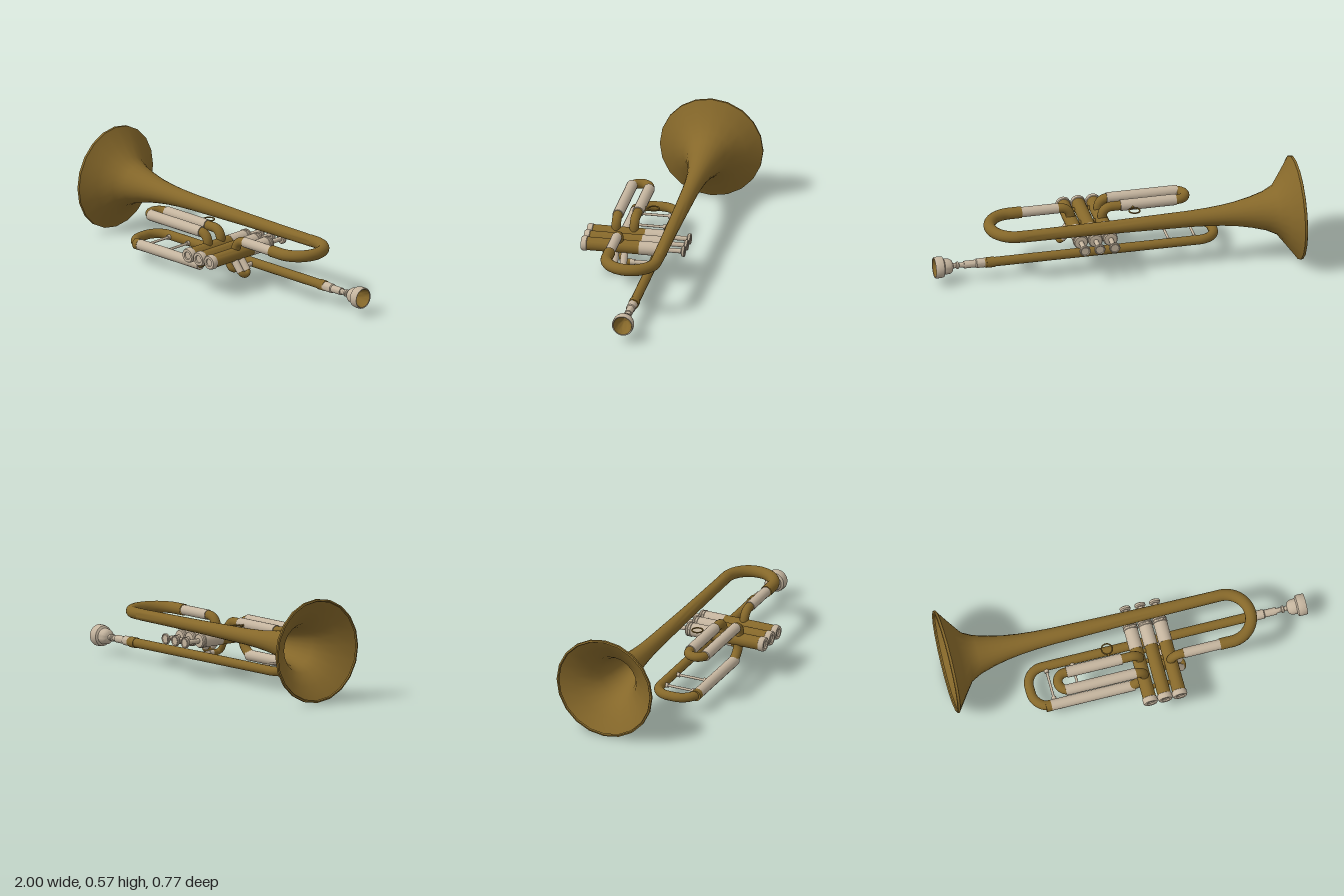
import * as THREE from 'three';
import { toCreasedNormals } from 'three/addons/utils/BufferGeometryUtils.js';

const brass = new THREE.MeshStandardMaterial({ color: 0x86682a, side: THREE.DoubleSide });
brass.name = 'brass';
const silver = new THREE.MeshStandardMaterial({ color: 0xc4b49e, side: THREE.DoubleSide });
silver.name = 'silver';

const V = (p) => new THREE.Vector3(...p);

export function createModel() {
  const root = new THREE.Group();
  root.name = 'trumpet';

  const add = (name, geo, mat, parent = root) => {
    const m = new THREE.Mesh(geo, mat);
    m.name = name;
    parent.add(m);
    return m;
  };

  // Pipe along a polyline whose corners are rounded by radius c
  const pipe = (name, pts, r, c, mat, segs = 120) => {
    const path = new THREE.CurvePath();
    const p = pts.map(V);
    let from = p[0];
    for (let i = 1; i < p.length - 1; i++) {
      const inDir = p[i].clone().sub(p[i - 1]).normalize();
      const outDir = p[i + 1].clone().sub(p[i]).normalize();
      const a = p[i].clone().addScaledVector(inDir, -c);
      const b = p[i].clone().addScaledVector(outDir, c);
      if (from.distanceTo(a) > 1e-4) path.add(new THREE.LineCurve3(from, a));
      path.add(new THREE.CubicBezierCurve3(a, a.clone().addScaledVector(inDir, c * 0.552),
        b.clone().addScaledVector(outDir, -c * 0.552), b));
      from = b;
    }
    path.add(new THREE.LineCurve3(from, p[p.length - 1]));
    return add(name, new THREE.TubeGeometry(path, segs, r, 16), mat);
  };

  // Straight capped rod between two points
  const rod = (name, a, b, r, mat) => {
    const A = V(a), B = V(b), d = B.clone().sub(A);
    const m = add(name, new THREE.CylinderGeometry(r, r, d.length(), 16), mat);
    m.position.copy(A).addScaledVector(d, 0.5);
    m.quaternion.setFromUnitVectors(new THREE.Vector3(0, 1, 0), d.normalize());
    return m;
  };

  // Turned part; profile is [radius, distance along the axis]
  const turned = (name, profile, axis, mat, parent, sides = 20, crease = 0.6) => {
    const g = new THREE.LatheGeometry(profile.map(([r, t]) => new THREE.Vector2(r, t)), sides);
    if (axis === 'x') g.rotateZ(-Math.PI / 2);
    else g.rotateX(Math.PI / 2);
    return add(name, toCreasedNormals(g, crease), mat, parent);
  };

  // Bell with a rolled rim, flaring towards -x
  const bell = turned('bell', [
    [0.272, -0.992], [0.277, -1], [0.286, -0.997], [0.286, -0.984], [0.279, -0.981],
    [0.205, -0.928], [0.137, -0.877], [0.108, -0.82], [0.085, -0.74], [0.068, -0.66],
    [0.057, -0.58], [0.05, -0.5], [0.045, -0.4], [0.041, -0.2], [0.037, 0], [0.034, 0.25], [0.032, 0.52],
  ], 'x', brass, root, 20, 0.75);
  bell.position.set(0, 0.287, -0.098);

  // Bow from the bell back to the third valve
  pipe('bellBow', [[0.5, 0.288, -0.098], [0.68, 0.288, -0.098], [0.68, 0.288, 0.175], [0.475, 0.288, 0.175]],
    0.032, 0.136, brass, 60);
  pipe('bellBowEnd', [[0.48, 0.288, 0.175], [0.2, 0.288, 0.175], [0.2, 0.2, 0.175]], 0.025, 0.06, brass, 50);
  rod('bellBowSleeve', [0.27, 0.288, 0.175], [0.476, 0.288, 0.175], 0.028, silver);

  // Lead pipe and main tuning slide
  pipe('leadPipe', [[0.72, 0.1, -0.005], [-0.574, 0.1, -0.005], [-0.574, 0.1, 0.222],
    [0.03, 0.1, 0.222], [0.03, 0.2, 0.222]], 0.026, 0.095, brass, 180);
  rod('leadPipeCollar', [0.665, 0.1, -0.005], [0.71, 0.1, -0.005], 0.029, brass);
  rod('tuningSlideSleeve', [-0.485, 0.1, 0.222], [-0.02, 0.1, 0.222], 0.03, silver);
  rod('tuningSlideCollar', [-0.515, 0.1, 0.222], [-0.485, 0.1, 0.222], 0.031, brass);

  // Braces across the tuning slide
  for (const x of [-0.46, -0.315]) {
    rod('slideBrace', [x, 0.1, 0.01], [x, 0.1, 0.205], 0.007, silver);
    rod('braceFoot', [x, 0.1, 0.018], [x, 0.1, 0.035], 0.013, silver);
    rod('braceFoot', [x, 0.1, 0.178], [x, 0.1, 0.196], 0.013, silver);
  }

  // First valve slide
  pipe('firstSlide', [[0.035, 0.2, 0.225], [0.035, 0.292, 0.225], [-0.434, 0.292, 0.225],
    [-0.434, 0.292, 0.125], [0.035, 0.292, 0.125], [0.035, 0.2, 0.125]], 0.026, 0.0495, brass, 160);
  rod('firstSlideSleeve', [-0.405, 0.292, 0.225], [-0.01, 0.292, 0.225], 0.03, silver);
  rod('firstSlideSleeve', [-0.375, 0.292, 0.125], [-0.065, 0.292, 0.125], 0.031, silver);

  // Finger ring on the first slide
  const ring = add('fingerRing', new THREE.TorusGeometry(0.03, 0.004, 8, 24).rotateX(Math.PI / 2), brass);
  ring.position.set(-0.128, 0.292, 0.05);
  rod('ringPost', [-0.128, 0.292, 0.08], [-0.128, 0.292, 0.1], 0.006, brass);

  // Small slanted slide under the third valve
  pipe('thirdSlide', [[0.195, 0.19, 0.143], [0.268, 0.1, 0.143], [0.268, 0.1, 0.193], [0.195, 0.19, 0.193]],
    0.017, 0.024, brass, 60);
  for (const z of [0.143, 0.193]) rod('thirdSlideSleeve', [0.212, 0.169, z], [0.256, 0.115, z], 0.02, silver);

  // Second valve crook and its brace to the lead pipe
  pipe('secondCrook', [[0.118, 0.19, 0.17], [0.135, 0.14, 0.17], [0.165, 0.1, 0.17], [0.165, 0.1, 0.12]],
    0.017, 0.025, brass, 40);
  rod('crookBrace', [0.165, 0.1, 0.13], [0.165, 0.1, 0.0], 0.012, silver);
  rod('crookBraceCollar', [0.165, 0.1, 0.095], [0.165, 0.1, 0.125], 0.016, silver);

  // Three piston valves, lying along z
  for (const x of [0.034, 0.117, 0.199]) {
    const valve = new THREE.Group();
    valve.name = 'valve';
    valve.position.set(x, 0.204, 0);
    root.add(valve);
    turned('valveCasing', [[0.037, 0.055], [0.037, 0.355]], 'z', brass, valve);
    turned('upperCasing', [[0.013, -0.088], [0.035, -0.086], [0.04, -0.08], [0.04, -0.072], [0.037, -0.07],
      [0.037, -0.066], [0.041, -0.064], [0.041, -0.056], [0.038, -0.054], [0.038, 0.062], [0.03, 0.062]],
    'z', silver, valve);
    turned('bottomCap', [[0.036, 0.35], [0.041, 0.353], [0.041, 0.374], [0.036, 0.383],
      [0.022, 0.383], [0.02, 0.376], [0, 0.376]], 'z', silver, valve);
    turned('stem', [[0.013, -0.172], [0.013, -0.08]], 'z', silver, valve);
    turned('fingerButton', [[0, -0.186], [0.022, -0.186], [0.026, -0.19], [0.03, -0.187], [0.03, -0.176],
      [0.024, -0.17], [0, -0.17]], 'z', silver, valve);
  }

  // Links between neighbouring casings
  for (const z of [0.08, 0.14, 0.29]) rod('valveLink', [0.034, 0.204, z], [0.199, 0.204, z], 0.013, brass);

  // Mouthpiece
  const mouthpiece = new THREE.Group();
  mouthpiece.name = 'mouthpiece';
  mouthpiece.position.set(0, 0.1, -0.002);
  root.add(mouthpiece);
  turned('receiver', [[0, 0.705], [0.026, 0.705], [0.026, 0.765], [0.021, 0.77], [0.021, 0.835], [0, 0.835]],
    'x', silver, mouthpiece);
  turned('shankAndCup', [[0.016, 0.83], [0.013, 0.862], [0.02, 0.866], [0.02, 0.876], [0.013, 0.88],
    [0.015, 0.895], [0.032, 0.902], [0.041, 0.915], [0.044, 0.945], [0.056, 0.952], [0.059, 0.965],
    [0.059, 0.993], [0.056, 1], [0.051, 0.998]], 'x', silver, mouthpiece, 28);
  turned('cupInside', [[0.051, 0.998], [0.046, 0.975], [0.038, 0.945], [0.022, 0.92], [0.01, 0.91], [0, 0.909]],
    'x', brass, mouthpiece, 28);

  return root;
}
